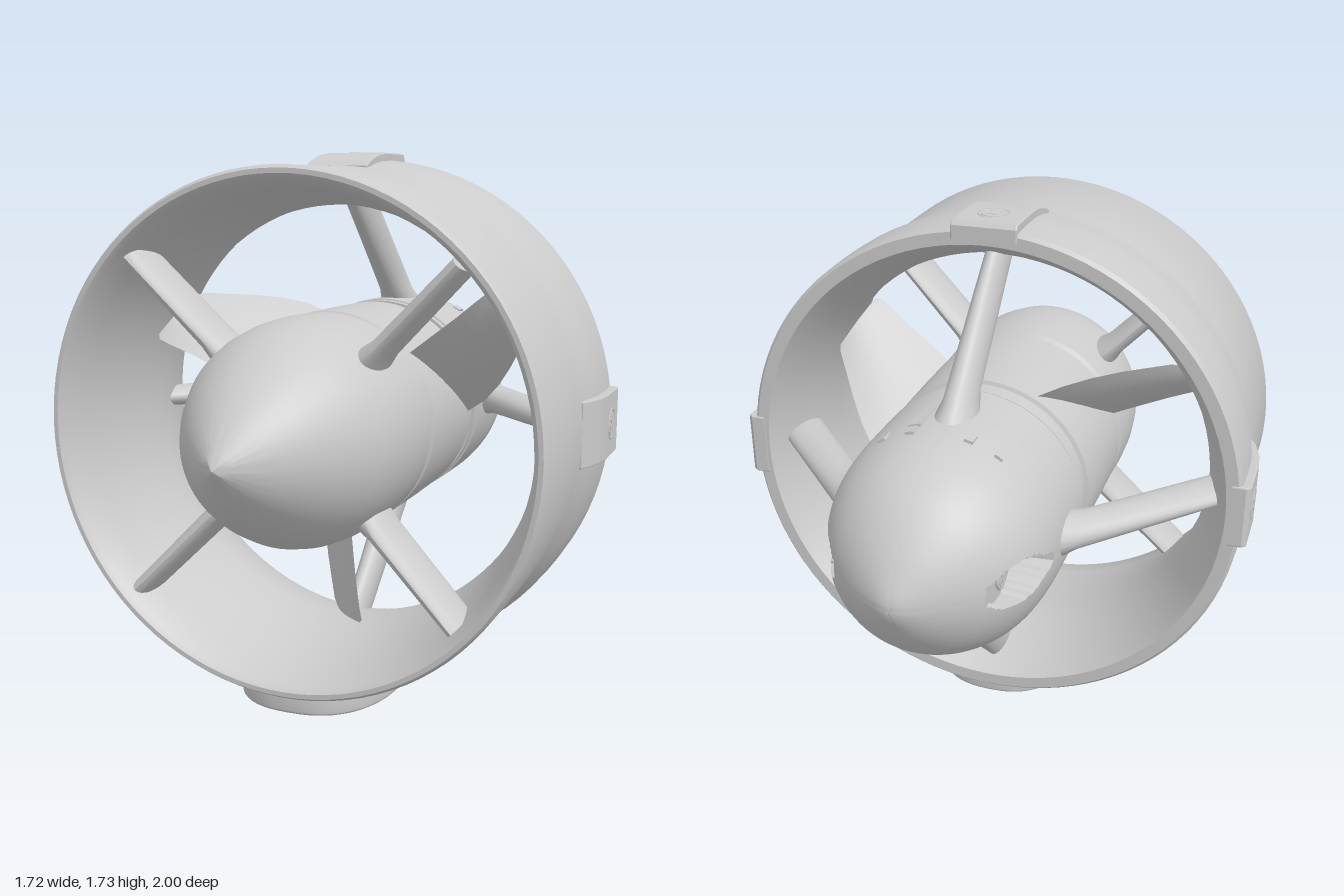
import * as THREE from 'three';
import { toCreasedNormals } from 'three/addons/utils/BufferGeometryUtils.js';

const mat = new THREE.MeshStandardMaterial({ color: 0xcccccc, side: THREE.DoubleSide });
const lerp = THREE.MathUtils.lerp;

function add(parent, name, geo) {
  const m = new THREE.Mesh(geo, mat);
  m.name = name;
  parent.add(m);
  return m;
}

// Lathe about the z axis from [radius, z] pairs in order of rising z
function turned(pts, segs) {
  return new THREE.LatheGeometry(pts.map(p => new THREE.Vector2(p[0], p[1])), segs).rotateX(Math.PI / 2);
}

// Moves every vertex of a geometry by a rule
function warp(geo, rule) {
  const p = geo.attributes.position, v = new THREE.Vector3();
  for (let i = 0; i < p.count; i++) {
    rule(v.fromBufferAttribute(p, i));
    p.setXYZ(i, v.x, v.y, v.z);
  }
  geo.computeVertexNormals();
  return geo;
}

// Oval strut running up +y; each end: r radius, z centre, c half chord, t half thickness
function strut(a, b) {
  return toCreasedNormals(warp(new THREE.CylinderGeometry(1, 1, 1, 20, 6), v => {
    const k = v.y + 0.5;
    const foot = 1 + 0.45 * Math.max(0, 1 - k * 6);
    v.set(v.x * lerp(a.t, b.t, k) * foot, lerp(a.r, b.r, k), lerp(a.z, b.z, k) + v.z * lerp(a.c, b.c, k));
  }), 0.7);
}

// Cross-head screw facing +y
function screw(radius) {
  const g = new THREE.Group();
  g.name = 'screw';
  add(g, 'screwRim', new THREE.TorusGeometry(radius, 0.006, 6, 28).rotateX(Math.PI / 2));
  add(g, 'screwHead', new THREE.CylinderGeometry(radius * 0.85, radius * 0.9, 0.01, 24));
  for (const a of [0.4, 0.4 + Math.PI / 2]) {
    add(g, 'screwCross', new THREE.BoxGeometry(radius * 1.1, 0.012, radius * 0.3).rotateY(a));
  }
  return g;
}

// Superellipse outline point
function oval(a, w, h) {
  const c = Math.cos(a), s = Math.sin(a), e = 0.8;
  return new THREE.Vector2(Math.sign(c) * Math.abs(c) ** e * w, Math.sign(s) * Math.abs(s) ** e * h);
}

// Thin swept propeller blade pointing down -y
function bladeGeometry() {
  // y, trailing x, leading x, depth per unit of x
  const rows = [[-0.30, -0.185, 0.06, 1.45], [-0.38, -0.178, 0.07, 1.4], [-0.46, -0.155, 0.08, 1.3],
    [-0.54, -0.122, 0.09, 1.2], [-0.62, -0.082, 0.103, 1.1], [-0.665, -0.06, 0.11, 1.0], [-0.68, -0.045, 0.1, 1.0]];
  const n = 8, pos = [], idx = [], W = 2 * n;
  for (const [y, x0, x1, s] of rows) {
    for (let i = 0; i < W; i++) {
      const k = i <= n ? i / n : (W - i) / n;
      const half = 0.002 + 0.016 * Math.sin(Math.PI * k) * (i < n ? 1 : -1);
      const x = lerp(x0, x1, k);
      pos.push(x + half * 0.8, y, x * s + 0.1 - half * 0.6);
    }
  }
  for (let j = 0; j < rows.length - 1; j++) {
    for (let i = 0; i < W; i++) {
      const a = j * W + i, b = j * W + (i + 1) % W;
      idx.push(a, b, a + W, b, b + W, a + W);
    }
  }
  // tip cap
  const t = (rows.length - 1) * W;
  for (let i = 1; i < W - 1; i++) idx.push(t, t + i, t + i + 1);
  const g = new THREE.BufferGeometry();
  g.setAttribute('position', new THREE.Float32BufferAttribute(pos, 3));
  g.setIndex(idx);
  return toCreasedNormals(g, 0.6);
}

export function createModel() {
  const root = new THREE.Group();
  const body = new THREE.Group();
  body.name = 'thruster';
  body.position.y = 0.87;
  root.add(body);

  // Duct: flared outer skin at the back, inner wall narrowing to a throat
  add(body, 'ductRing', toCreasedNormals(turned([
    [0.785, -0.19], [0.825, -0.19], [0.836, -0.178], [0.838, -0.08], [0.836, 0], [0.828, 0.07], [0.815, 0.13], [0.81, 0.18],
    [0.81, 0.575], [0.8, 0.59], [0.785, 0.59], [0.77, 0.575], [0.745, 0.47], [0.715, 0.33], [0.695, 0.2],
    [0.69, 0.1], [0.7, 0.02], [0.73, -0.08], [0.765, -0.16], [0.785, -0.19]], 96), 0.6));

  // Nose cone, spinning hub and tail section with seams between
  add(body, 'noseCone', toCreasedNormals(turned([
    [0.34, 0.22], [0.355, 0.235], [0.358, 0.34], [0.355, 0.44], [0.345, 0.52], [0.327, 0.59], [0.295, 0.66],
    [0.255, 0.73], [0.207, 0.8], [0.155, 0.865], [0.1, 0.92], [0.05, 0.963], [0.015, 0.99], [0, 1]], 80), 0.6));
  add(body, 'propellerHub', toCreasedNormals(turned([
    [0.34, -0.29], [0.34, -0.275], [0.35, -0.275], [0.35, -0.25], [0.34, -0.25], [0.34, -0.2], [0.352, -0.195],
    [0.355, 0], [0.355, 0.2], [0.34, 0.21], [0.34, 0.23]], 80), 0.6));

  const tailCurve = new THREE.SplineCurve([[0, -1], [0.05, -0.985], [0.15, -0.925], [0.24, -0.845], [0.3, -0.755],
    [0.337, -0.65], [0.352, -0.53], [0.354, -0.4], [0.354, -0.285]].map(p => new THREE.Vector2(...p)));
  const tail = tailCurve.getSpacedPoints(80).map(p => [Math.max(p.x, 0), p.y]);
  tail.push([0.335, -0.28]);
  // Teardrop pockets are pressed into both sides
  add(body, 'tailCone', toCreasedNormals(warp(turned(tail, 220), v => {
    const u = (-0.595 - v.z) / 0.27;
    if (u > 0 && u < 1 && Math.abs(v.y) < 0.015 + 0.052 * Math.sin(Math.PI * u ** 1.3)) {
      v.x = Math.sign(v.x) * Math.min(Math.abs(v.x), 0.23);
    }
  }), 0.6));
  for (const s of [-1, 1]) {
    const sc = screw(0.032);
    sc.position.set(s * 0.235, 0, -0.74);
    sc.rotation.z = -s * Math.PI / 2;
    body.add(sc);
  }

  // Small vents and a narrow cover on top of the tail
  for (const x of [-0.18, -0.09, 0.09, 0.18]) {
    const vent = add(body, 'vent', new THREE.BoxGeometry(0.028, 0.012, 0.045));
    vent.position.set(x, Math.sqrt(0.349 ** 2 - x * x), -0.575);
    vent.rotation.z = -Math.asin(x / 0.349);
  }
  const cover = add(body, 'cableCover', new THREE.BoxGeometry(0.04, 0.012, 0.14));
  cover.position.set(0.09, 0.342, -0.485);
  cover.rotation.z = -0.26;

  // Propeller
  const propeller = new THREE.Group();
  propeller.name = 'propeller';
  body.add(propeller);
  const blade = bladeGeometry();
  for (let i = 0; i < 3; i++) add(propeller, 'blade', blade).rotation.z = i * Math.PI * 2 / 3;

  // Four diagonal front struts, four raked back struts
  const front = strut({ r: 0.32, z: 0.43, c: 0.1, t: 0.038 }, { r: 0.755, z: 0.47, c: 0.095, t: 0.032 });
  const back = strut({ r: 0.31, z: -0.48, c: 0.1, t: 0.052 }, { r: 0.76, z: 0, c: 0.11, t: 0.034 });
  for (let i = 0; i < 4; i++) {
    add(body, 'frontStrut', front).rotation.z = (i + 0.5) * Math.PI / 2;
    add(body, 'backStrut', back).rotation.z = i * Math.PI / 2;
  }

  // Mounting pads with screws at the top and both sides
  const padShape = new THREE.Shape([[0.19, 0.8], [0.19, 0.84], [0.18, 0.852], [0.02, 0.852], [-0.05, 0.845], [-0.12, 0.825],
    [-0.15, 0.81], [-0.15, 0.785]].map(p => new THREE.Vector2(...p)));
  const padGeo = new THREE.ExtrudeGeometry(padShape, { depth: 0.2, bevelThickness: 0.005, bevelSize: 0.004, bevelSegments: 2 })
    .translate(0, 0, -0.1).rotateY(Math.PI / 2);
  for (const a of [-Math.PI / 2, 0, Math.PI / 2]) {
    const pad = new THREE.Group();
    pad.name = 'mountingPad';
    pad.rotation.z = a;
    add(pad, 'padPlate', padGeo);
    const sc = screw(0.048);
    sc.position.set(0, 0.853, -0.085);
    pad.add(sc);
    body.add(pad);
  }

  // Oval base with four openings and bolt holes
  const base = new THREE.Shape();
  const N = 64;
  base.setFromPoints(Array.from({ length: N }, (_, i) => oval(i / N * Math.PI * 2, 0.25, 0.355)));
  for (let q = 0; q < 4; q++) {
    const pts = [];
    const a0 = q * Math.PI / 2;
    for (let i = 0; i <= 10; i++) pts.push(oval(a0 + 0.2 + i / 10 * (Math.PI / 2 - 0.4), 0.19, 0.25));
    for (let i = 10; i >= 0; i--) pts.push(oval(a0 + 0.4 + i / 10 * (Math.PI / 2 - 0.8), 0.075, 0.09));
    base.holes.push(new THREE.Path(pts));
  }
  for (const [x, y] of [[0, 0], [0, 0.29], [0.12, 0.27], [-0.12, 0.27], [0.12, -0.27], [-0.12, -0.27]]) {
    base.holes.push(new THREE.Path().absarc(x, y, 0.02, 0, Math.PI * 2, true));
  }
  const baseGeo = new THREE.ExtrudeGeometry(base, { depth: 0.08, bevelThickness: 0.01, bevelSize: 0.009, bevelSegments: 3 });
  add(root, 'base', toCreasedNormals(baseGeo.rotateX(Math.PI / 2), 0.6)).position.set(0, 0.09, 0.19);
  const baseScrew = screw(0.035);
  baseScrew.position.set(0, 0.007, -0.1);
  baseScrew.rotation.x = Math.PI;
  root.add(baseScrew);

  return root;
}
